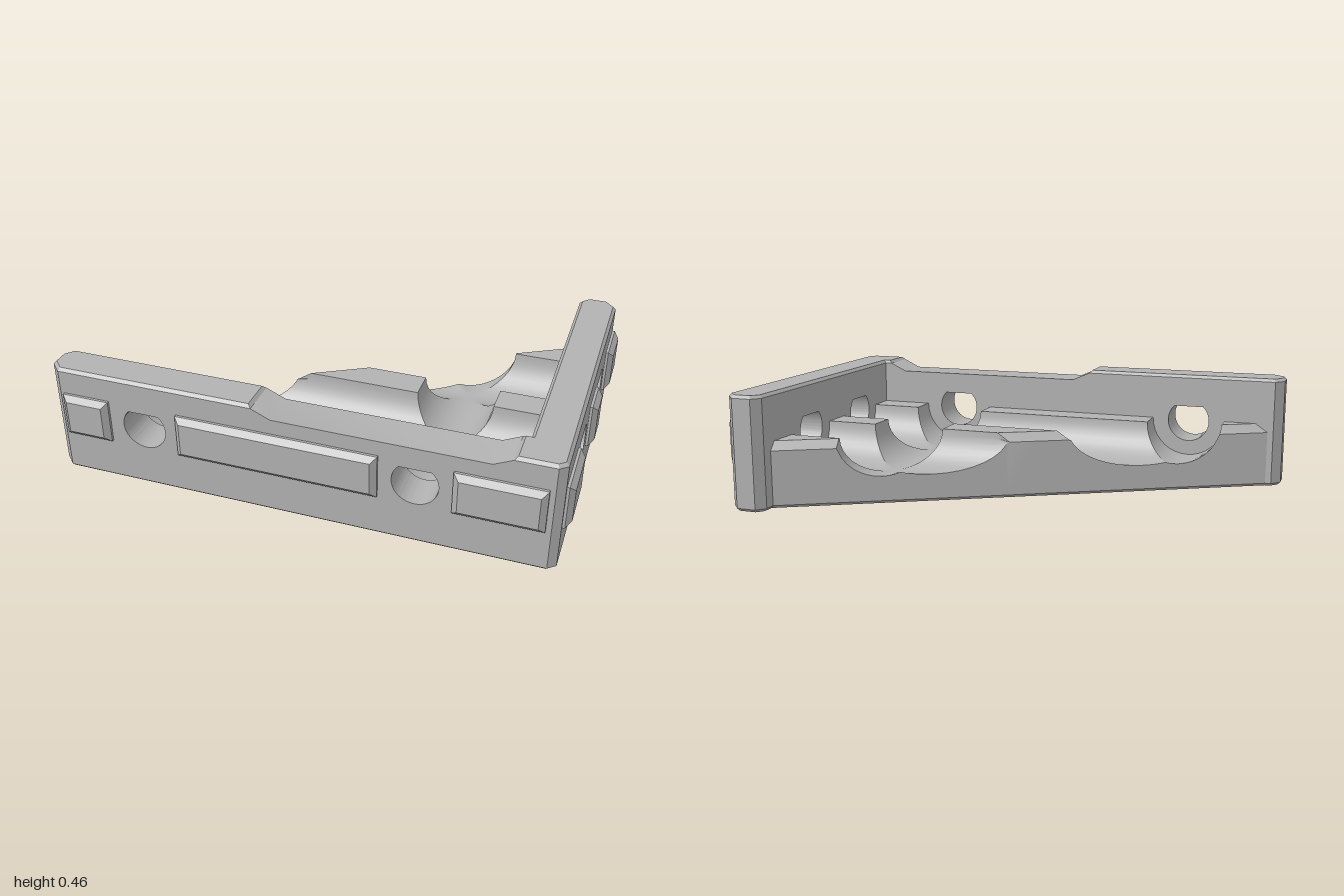
import * as THREE from 'three';
import { toCreasedNormals } from 'three/addons/utils/BufferGeometryUtils.js';

const grey = new THREE.MeshStandardMaterial({ color: 0xb2b2b2 });
grey.name = 'grey plastic';

const BEVEL = 0.012, TOP = 0.455, RECESS = 0.41;
const RIM = TOP - BEVEL;

// Offset a counter-clockwise outline inwards with mitred corners
function inset(poly, d) {
  return poly.map((p, i) => {
    const a = poly[(i + poly.length - 1) % poly.length], b = poly[(i + 1) % poly.length];
    const n1 = new THREE.Vector2(a.y - p.y, p.x - a.x).normalize();
    const n2 = new THREE.Vector2(p.y - b.y, b.x - p.x).normalize();
    return n1.clone().add(n2).multiplyScalar(d / (1 + n1.dot(n2))).add(p);
  });
}

function fromTriangles(list) {
  const g = new THREE.BufferGeometry();
  g.setAttribute('position', new THREE.Float32BufferAttribute(list, 3));
  g.computeVertexNormals();
  return g;
}

// Closed solid through [inset, height] levels of one outline, height along z
function loft(points, levels) {
  const poly = points.map(([x, y]) => new THREE.Vector2(x, y));
  const rings = levels.map(([d, h]) => inset(poly, d).map(p => [p.x, p.y, h]));
  const out = [], n = poly.length;
  for (let k = 0; k + 1 < rings.length; k++) {
    for (let i = 0; i < n; i++) {
      const j = (i + 1) % n, a = rings[k], b = rings[k + 1];
      out.push(...a[i], ...a[j], ...b[j], ...a[i], ...b[j], ...b[i]);
    }
  }
  const last = rings[rings.length - 1];
  for (const [a, b, c] of THREE.ShapeUtils.triangulateShape(poly, [])) {
    out.push(...last[a], ...last[b], ...last[c], ...rings[0][c], ...rings[0][b], ...rings[0][a]);
  }
  return fromTriangles(out);
}

// Loft standing on a plan outline given as [x, z]
const planLoft = (plan, levels) => loft(plan.map(([x, z]) => [x, -z]), levels).rotateX(-Math.PI / 2);

// Wall plate with teardrop screw holes
function plate(outline, holeCentres) {
  const shape = new THREE.Shape(outline.map(([x, y]) => new THREE.Vector2(x, y)));
  const r = 0.087, cy = 0.26;
  for (const cx of holeCentres) {
    const hole = new THREE.Path();
    hole.moveTo(cx, cy + r * Math.SQRT2);
    hole.absarc(cx, cy, r, Math.PI / 4, Math.PI * 3 / 4, true);
    hole.closePath();
    shape.holes.push(hole);
  }
  const g = new THREE.ExtrudeGeometry(shape, { depth: 0.15, bevelEnabled: false, curveSegments: 36 });
  return toCreasedNormals(g, 0.5);
}

// Raised pad with sloping edges
const pad = (a, b) => loft([[a, 0.175], [b, 0.175], [b, 0.35], [a, 0.35]],
  [[0, -0.01], [0, 0.01], [0.022, 0.03]]);

// Web between the walls: a plateau cut by crossing round channels
function webGeometry() {
  const R = 0.153, PLATEAU = 0.265, EDGE = 0.025, N = 18;
  const cxs = [-0.608, 0.452], czs = [-0.245, 0.182];
  const samples = (lo, centres, hi) => {
    const s = [lo];
    for (const c of centres) for (let i = 0; i <= N; i++) s.push(c - R * Math.cos(i * Math.PI / N));
    return [...s, hi];
  };
  const xs = samples(-0.96, cxs, 0.825), zs = samples(-0.57, czs, 0.455);
  const dist = (x, z) => ((x + 0.95) * 1.01 + (z - 0.455) * 1.77) / 2.038;
  const dip = (v, centres) => Math.max(...centres.map(c => Math.sqrt(Math.max(0, R * R - (v - c) ** 2))));
  const height = (x, z) => Math.min(PLATEAU - Math.max(dip(x, cxs), dip(z, czs)), 0.23 + 1.4 * dist(x, z));
  const nearest = (v, centres) => v - centres.reduce((a, b) => Math.abs(v - a) < Math.abs(v - b) ? a : b);

  // Keep the part of a polygon where f >= 0
  const clip = (poly, f) => {
    const res = [];
    poly.forEach((p, i) => {
      const q = poly[(i + 1) % poly.length], a = f(...p), b = f(...q);
      if (a >= 0) res.push(p);
      if ((a > 0 && b < 0) || (a < 0 && b > 0)) {
        const t = a / (a - b);
        res.push([p[0] + (q[0] - p[0]) * t, p[1] + (q[1] - p[1]) * t]);
      }
    });
    return res;
  };
  const out = [];
  const at = ([x, z]) => [x, height(x, z), z];
  const addPoly = poly => {
    for (let i = 1; i + 1 < poly.length; i++) {
      const [a, b, c] = [poly[0], poly[i], poly[i + 1]];
      const area = (b[0] - a[0]) * (c[1] - a[1]) - (b[1] - a[1]) * (c[0] - a[0]);
      if (Math.abs(area) > 1e-10) out.push(...at(a), ...at(b), ...at(c));
    }
    // Upright face along the slanted edge
    poly.forEach((p, i) => {
      const q = poly[(i + 1) % poly.length];
      if (Math.abs(dist(...p)) > 1e-7 || Math.abs(dist(...q)) > 1e-7) return;
      const p0 = [p[0], BEVEL, p[1]], q0 = [q[0], BEVEL, q[1]];
      out.push(...p0, ...q0, ...at(q), ...p0, ...at(q), ...at(p));
    });
  };
  for (let i = 0; i + 1 < xs.length; i++) {
    for (let j = 0; j + 1 < zs.length; j++) {
      const a = [xs[i], zs[j]], b = [xs[i], zs[j + 1]], c = [xs[i + 1], zs[j + 1]], d = [xs[i + 1], zs[j]];
      const same = nearest((a[0] + c[0]) / 2, cxs) * nearest((a[1] + c[1]) / 2, czs) > 0;
      for (const tri of same ? [[a, b, c], [a, c, d]] : [[a, b, d], [b, c, d]]) {
        addPoly(clip(tri, (x, z) => dist(x, z) - EDGE));
        addPoly(clip(clip(tri, dist), (x, z) => EDGE - dist(x, z)));
      }
    }
  }
  return toCreasedNormals(fromTriangles(out), 0.5);
}

export function createModel() {
  const group = new THREE.Group();
  const add = (name, geometry) => {
    const mesh = new THREE.Mesh(geometry, grey);
    mesh.name = name;
    group.add(mesh);
  };

  // Plan outlines of the chamfered wall ends and outer corner
  const leftEnd = [[-0.965, 0.45], [-1, 0.49], [-1, 0.555]];
  const corner = [[0.94, 0.6], [0.97, 0.575]];
  const rearEnd = [[0.97, -0.59], [0.93, -0.635], [0.85, -0.635], [0.82, -0.6]];

  // Base with a chamfered lower edge
  add('base', planLoft([[-0.955, 0.6], ...corner, ...rearEnd, [0.82, -0.555], [-0.941, 0.45], ...leftEnd],
    [[BEVEL, 0], [0, BEVEL]]));
  add('channelledWeb', webGeometry());

  // Walls
  add('frontWall', plate([[-0.955, BEVEL], [0.94, BEVEL], [0.94, RIM], [0.79, RIM], [0.72, RECESS],
    [-0.09, RECESS], [-0.165, RIM], [-0.955, RIM]], [-0.608, 0.452]).translate(0, 0, 0.45));
  add('sideWall', plate([[-0.575, BEVEL], [0.59, BEVEL], [0.59, RIM], [-0.575, RIM]], [-0.182, 0.243])
    .rotateY(Math.PI / 2).translate(0.82, 0, 0));

  // Chamfered upright ends and corner
  const upright = [[0, BEVEL], [0, RIM]];
  add('frontWallEnd', planLoft([[-0.955, 0.6], [-0.955, 0.45], ...leftEnd], upright));
  add('sideWallEnd', planLoft([...rearEnd, [0.82, -0.59]], upright));
  add('outerCorner', planLoft([...corner, [0.94, 0.575]], upright));

  // Chamfered top rims on both sides of the recess
  const rim = [[0, RIM], [BEVEL, TOP]];
  add('leftRim', planLoft([[-0.955, 0.6], [-0.165, 0.6], [-0.165, 0.45], ...leftEnd], rim));
  add('cornerRim', planLoft([[0.79, 0.6], ...corner, ...rearEnd, [0.82, 0.45], [0.79, 0.45]], rim));

  // Raised locating pads
  for (const [a, b] of [[-0.94, -0.75], [-0.47, 0.315], [0.59, 0.92]]) {
    add('frontPad', pad(a, b).translate(0, 0, 0.6));
  }
  for (const [a, b] of [[-0.565, -0.32], [-0.045, 0.105], [0.38, 0.575]]) {
    add('sidePad', pad(a, b).rotateY(Math.PI / 2).translate(0.97, 0, 0));
  }
  return group;
}
